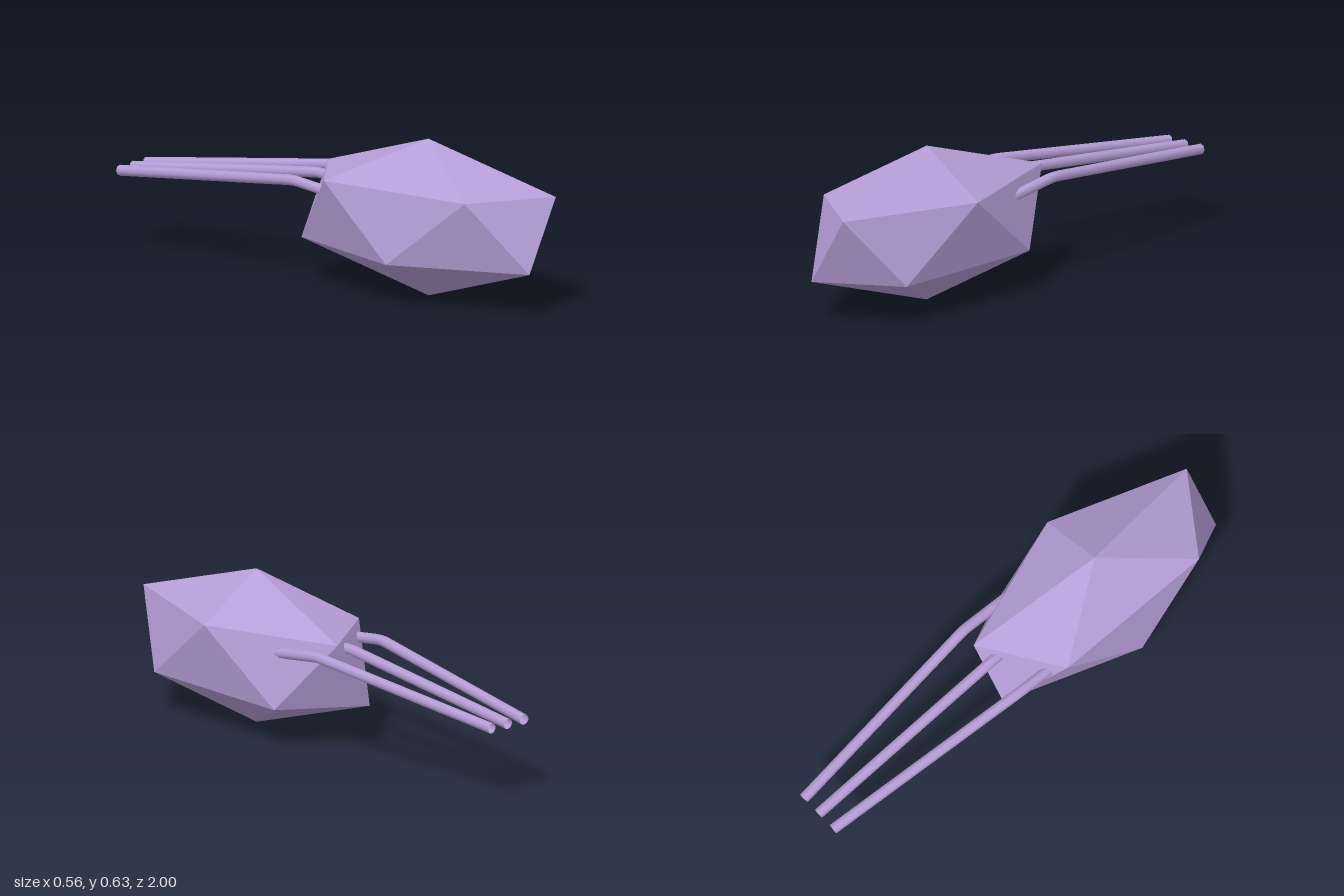
import * as THREE from 'three';
import { ConvexGeometry } from 'three/addons/geometries/ConvexGeometry.js';

const lavender = new THREE.MeshStandardMaterial({ color: 0xb59dd6, side: THREE.DoubleSide });
lavender.name = 'lavender';

// Stretched icosahedron: two poles and two staggered rings of five corners
function createBody() {
  const points = [new THREE.Vector3(0, 0.315, 0), new THREE.Vector3(0, -0.315, 0)];
  for (let i = 0; i < 10; i++) {
    const a = (i * Math.PI) / 5;
    const y = i % 2 === 0 ? 0.141 : -0.141;
    points.push(new THREE.Vector3(0.281 * Math.cos(a), y, 0.585 * Math.sin(a)));
  }
  const body = new THREE.Mesh(new ConvexGeometry(points), lavender);
  body.name = 'body';
  body.position.set(0, 0.315, 0.444);
  return body;
}

// Open-ended tube that leaves the body, bends and trails backwards
function createTail(name, side) {
  const start = new THREE.Vector3(side * 0.17, 0.382, 0.19);
  const bend = new THREE.Vector3(side * 0.17, 0.422, -0.09);
  const end = new THREE.Vector3(side * 0.086, 0.32, -0.999);
  const before = bend.clone().lerp(start, 0.1);
  const after = bend.clone().lerp(end, 0.03);
  const path = new THREE.CurvePath();
  path.add(new THREE.LineCurve3(start, before));
  path.add(new THREE.QuadraticBezierCurve3(before, bend, after));
  path.add(new THREE.LineCurve3(after, end));
  const tail = new THREE.Mesh(new THREE.TubeGeometry(path, 48, 0.022, 8, false), lavender);
  tail.name = name;
  return tail;
}

export function createModel() {
  const model = new THREE.Group();
  model.name = 'facetedBodyWithTails';
  model.add(
    createBody(),
    createTail('leftTail', 1),
    createTail('middleTail', 0),
    createTail('rightTail', -1)
  );
  return model;
}
